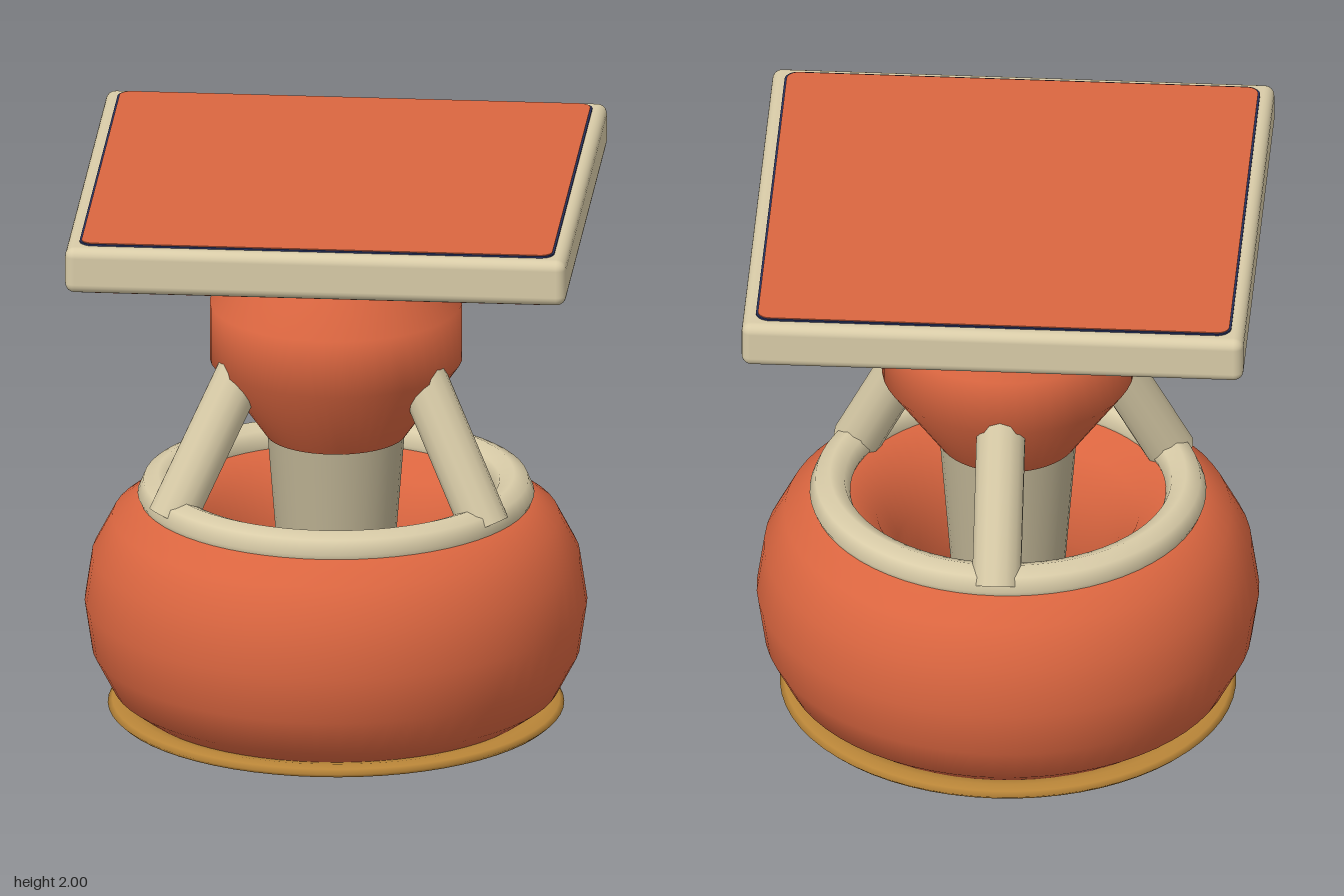
import * as THREE from 'three';
import { RoundedBoxGeometry } from 'three/addons/geometries/RoundedBoxGeometry.js';

const material = (name, color) => {
  const m = new THREE.MeshStandardMaterial({ color });
  m.name = name;
  return m;
};

// Rounded square lying flat, with its underside at y = 0
function plateGeometry(size, corner, thickness) {
  const h = size / 2, k = h - corner;
  const s = new THREE.Shape();
  s.absarc(k, k, corner, 0, Math.PI / 2);
  s.absarc(-k, k, corner, Math.PI / 2, Math.PI);
  s.absarc(-k, -k, corner, Math.PI, Math.PI * 1.5);
  s.absarc(k, -k, corner, Math.PI * 1.5, Math.PI * 2);
  const g = new THREE.ExtrudeGeometry(s, { depth: thickness, bevelEnabled: false, curveSegments: 5 });
  return g.rotateX(-Math.PI / 2);
}

// Horizontal torus, with its cross-section stretched in height
function ringGeometry(radius, tube, height, sides) {
  const g = new THREE.TorusGeometry(radius, tube, sides, 64);
  return g.rotateX(Math.PI / 2).scale(1, height / tube, 1);
}

export function createModel() {
  const root = new THREE.Group();
  const orange = material('orange', 0xdb6640);
  const cream = material('cream', 0xd9cca8);
  const stone = material('stone', 0xbdb293);
  const navy = material('navy', 0x26305c);
  const gold = material('gold', 0xb98538);

  const add = (name, geometry, mat, y = 0, parent = root) => {
    const mesh = new THREE.Mesh(geometry, mat);
    mesh.name = name;
    mesh.position.y = y;
    parent.add(mesh);
    return mesh;
  };

  // Ring-shaped body with its foot and top rail
  add('footRing', ringGeometry(0.755, 0.055, 0.021, 8), gold, 0.021);
  add('body', ringGeometry(0.63, 0.262, 0.4, 14), orange, 0.405);
  add('topRail', ringGeometry(0.632, 0.072, 0.07, 8), cream, 0.806);

  // Slats across the bottom opening, ends buried in the body
  const grille = new THREE.Group();
  grille.name = 'grille';
  root.add(grille);
  for (let i = -2; i <= 2; i++) {
    const z = i * 0.195;
    const length = 2 * Math.sqrt(0.55 ** 2 - z * z);
    add('slat', new THREE.BoxGeometry(length, 0.03, 0.14), orange, 0.08, grille).position.z = z;
  }

  // Central column and faceted-profile head
  add('column', new THREE.CylinderGeometry(0.245, 0.17, 0.95, 32), stone, 0.565);
  const profile = [[0, 1.03], [0.25, 1.03], [0.448, 1.31], [0.448, 1.52], [0.2, 1.825], [0, 1.825]]
    .map(([x, y]) => new THREE.Vector2(x, y));
  add('head', new THREE.LatheGeometry(profile.slice(1, 5), 48), orange);
  add('headUnderside', new THREE.LatheGeometry(profile.slice(0, 2), 48), orange);

  // Three braces from the rail up into the head
  const up = new THREE.Vector3(0, 1, 0);
  for (const degrees of [30, 150, 270]) {
    const a = THREE.MathUtils.degToRad(degrees);
    const at = (r, y) => new THREE.Vector3(r * Math.cos(a), y, r * Math.sin(a));
    const low = at(0.645, 0.8), high = at(0.35, 1.35);
    const axis = high.clone().sub(low);
    const brace = add('brace', new THREE.CylinderGeometry(0.088, 0.088, axis.length(), 14), cream);
    brace.position.copy(low).add(high).multiplyScalar(0.5);
    brace.quaternion.setFromUnitVectors(up, axis.normalize());
  }

  // Square table top with bordered panels above and below
  add('tableTop', new RoundedBoxGeometry(1.784, 0.168, 1.784, 3, 0.035), cream, 1.907);
  add('upperBorder', plateGeometry(1.69, 0.05, 0.009), navy, 1.988);
  add('upperPanel', plateGeometry(1.676, 0.043, 0.006), orange, 1.994);
  add('lowerBorder', plateGeometry(1.69, 0.05, 0.009), navy, 1.817);
  add('lowerPanel', plateGeometry(1.676, 0.043, 0.006), orange, 1.814);

  return root;
}
